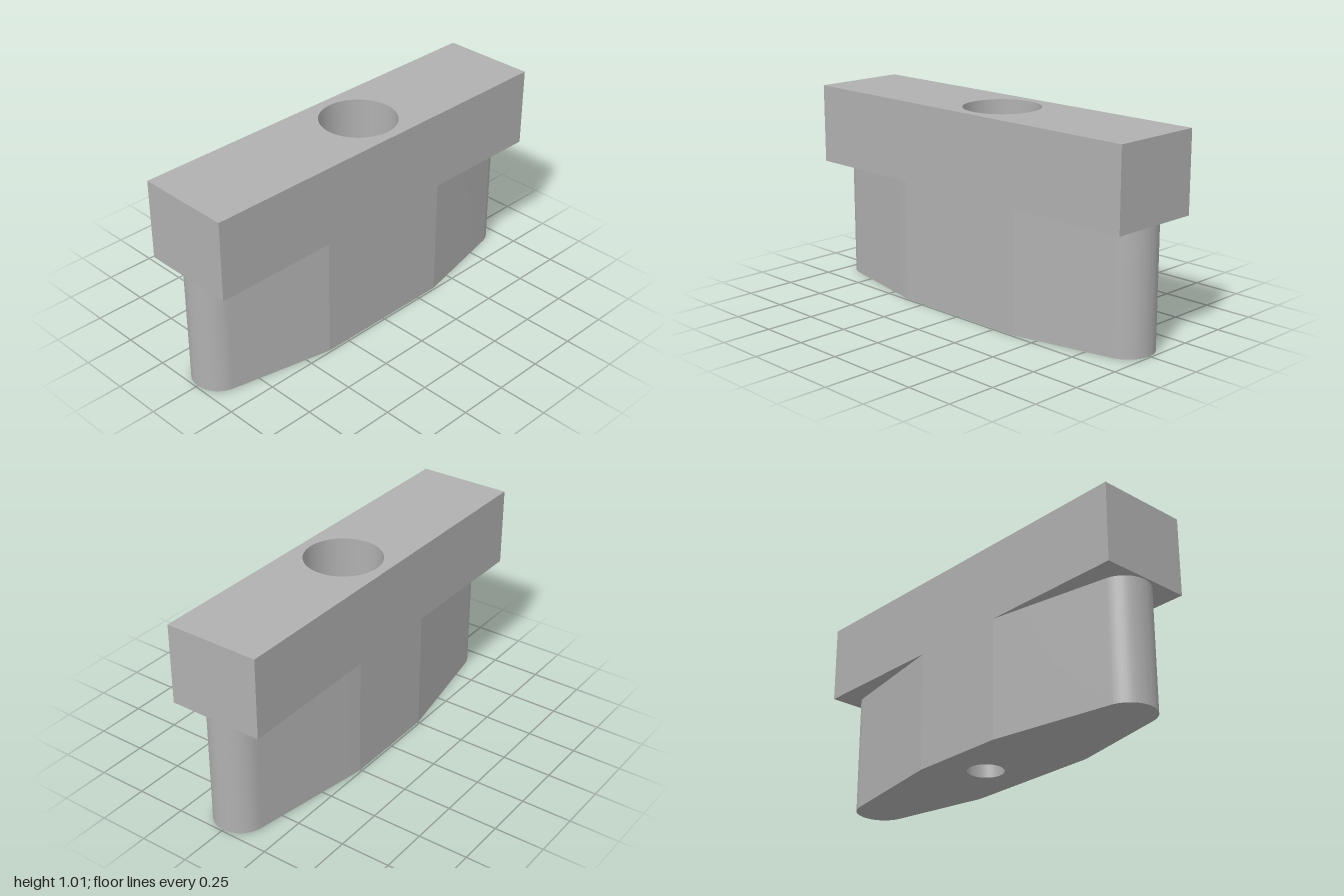
import * as THREE from 'three';
import { toCreasedNormals } from 'three/addons/utils/BufferGeometryUtils.js';

const HALF_WIDTH = 0.24;
const HOLE_Z = -0.06;

// Extrudes a plan outline (x, -z) upward from y0 to y1, with a round bolt hole
function plate(name, outline, holeRadius, y0, y1, material) {
  const hole = new THREE.Path();
  hole.absarc(0, -HOLE_Z, holeRadius, 0, Math.PI * 2, true);
  outline.holes.push(hole);
  const geometry = new THREE.ExtrudeGeometry(outline, {
    depth: y1 - y0, bevelEnabled: false, curveSegments: 32,
  });
  geometry.rotateX(-Math.PI / 2);
  geometry.translate(0, y0, 0);
  const mesh = new THREE.Mesh(toCreasedNormals(geometry, 0.15), material);
  mesh.name = name;
  return mesh;
}

export function createModel() {
  const group = new THREE.Group();
  group.name = 'slotBlock';
  const steel = new THREE.MeshStandardMaterial({ color: 0xb0b0b0 });
  steel.name = 'grey steel';

  // Upper bar, with the wide counterbore
  const bar = new THREE.Shape([
    new THREE.Vector2(-HALF_WIDTH, -1), new THREE.Vector2(HALF_WIDTH, -1),
    new THREE.Vector2(HALF_WIDTH, 1), new THREE.Vector2(-HALF_WIDTH, 1),
  ]);
  group.add(plate('upperBar', bar, 0.19, 0.61, 1.01, steel));

  // Lower body: tapered to round ends, with a longer flat on the +x side
  const r = 0.135, endCentre = 0.855;
  const flatLeft = 0.37, flatRight = 0.255;
  const tiltLeft = 0.207, tiltRight = 0.17;
  const body = new THREE.Shape();
  body.moveTo(HALF_WIDTH, -flatLeft);
  body.lineTo(HALF_WIDTH, flatLeft);
  body.absarc(0, endCentre, r, tiltLeft, Math.PI - tiltRight, false);
  body.lineTo(-HALF_WIDTH, flatRight);
  body.lineTo(-HALF_WIDTH, -flatRight);
  body.absarc(0, -endCentre, r, Math.PI + tiltRight, Math.PI * 2 - tiltLeft, false);
  body.closePath();
  group.add(plate('lowerBody', body, 0.09, 0, 0.61, steel));

  return group;
}
